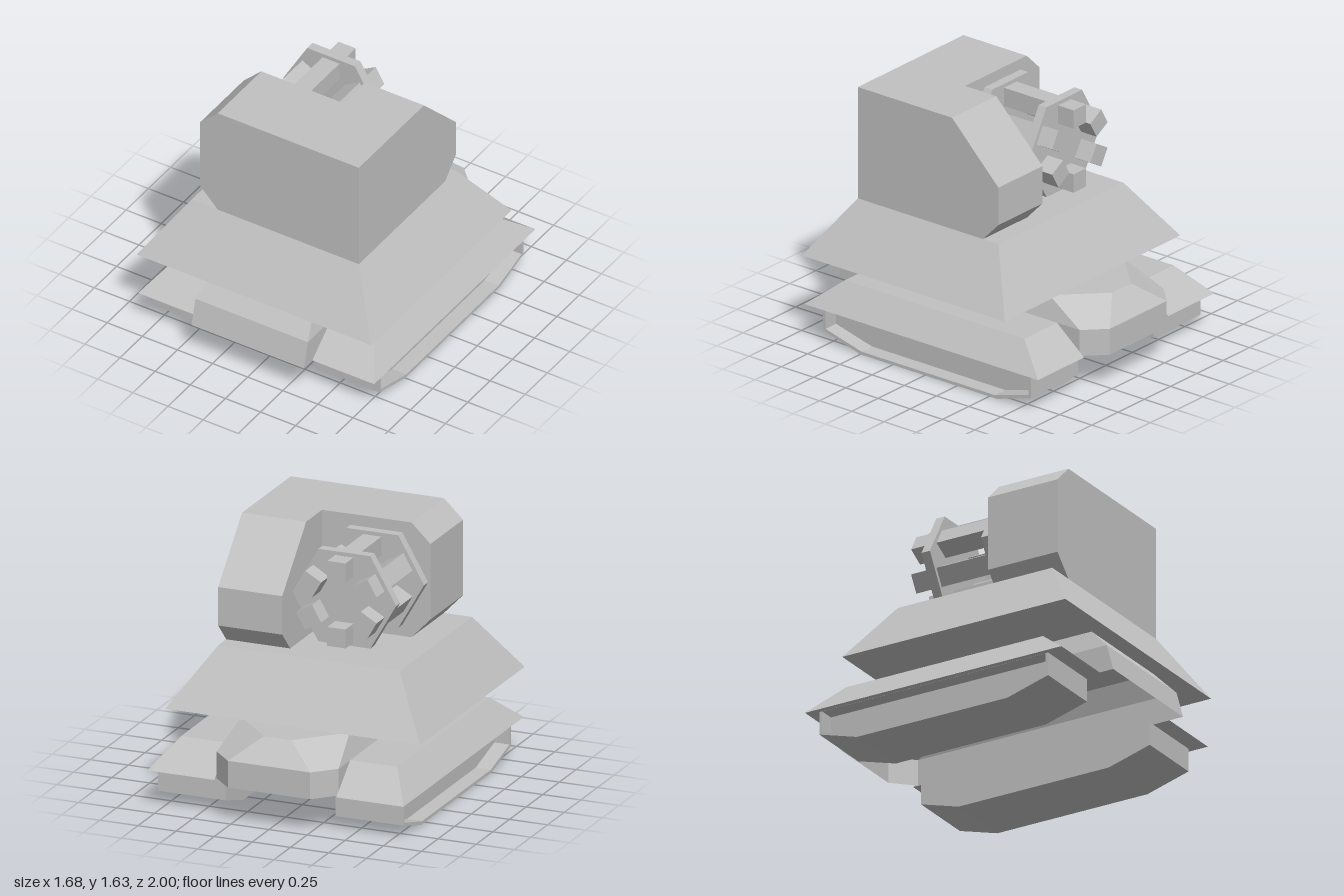
import * as THREE from 'three';

const grey = new THREE.MeshStandardMaterial({ color: 0xc0c0c0, flatShading: true });
grey.name = 'plain grey';
const greyShell = new THREE.MeshStandardMaterial({ color: 0xc0c0c0, flatShading: true, side: THREE.DoubleSide });
greyShell.name = 'plain grey shell';

function part(name, geometry, parent, material = grey) {
  const mesh = new THREE.Mesh(geometry, material);
  mesh.name = name;
  parent.add(mesh);
  return mesh;
}

// Stacks outlines [y, [[x, z], ...]], each counter-clockwise from above
function loft(layers, openBottom = false) {
  const n = layers[0][1].length;
  const pos = [];
  const put = (l, i) => pos.push(layers[l][1][i % n][0], layers[l][0], layers[l][1][i % n][1]);
  const tri = (...corners) => corners.forEach(([l, i]) => put(l, i));
  const top = layers.length - 1;
  for (let l = 0; l < top; l++) {
    for (let i = 0; i < n; i++) {
      tri([l, i], [l, i + 1], [l + 1, i + 1]);
      tri([l, i], [l + 1, i + 1], [l + 1, i]);
    }
  }
  for (let i = 1; i < n - 1; i++) {
    tri([top, 0], [top, i], [top, i + 1]);
    if (!openBottom) tri([0, 0], [0, i + 1], [0, i]);
  }
  const g = new THREE.BufferGeometry();
  g.setAttribute('position', new THREE.Float32BufferAttribute(pos, 3));
  g.computeVertexNormals();
  return g;
}

const rect = (x0, x1, z0, z1) => [[x1, z1], [x1, z0], [x0, z0], [x0, z1]];
const toShape = (points) => new THREE.Shape(points.map(([x, y]) => new THREE.Vector2(x, y)));
const extrude = (shape, depth) => new THREE.ExtrudeGeometry(shape, { depth, bevelEnabled: false });

// Side profile given as [z, y], extruded from x0 to x1
function sideExtrude(points, x0, x1, hole) {
  const flip = (list) => list.map(([z, y]) => [-z, y]);
  const shape = toShape(flip(points));
  if (hole) shape.holes.push(toShape(flip(hole)));
  return extrude(shape, x1 - x0).rotateY(Math.PI / 2).translate(x0, 0, 0);
}

export function createModel() {
  const model = new THREE.Group();
  model.name = 'trackedLauncher';

  // Hollow hull, open underneath, with a clipped tail
  const hullOutline = (w, front, sideEnd, tailW, tail) =>
    [[w, front], [w, sideEnd], [tailW, tail], [-tailW, tail], [-w, sideEnd], [-w, front]];
  part('hull', loft([
    [0.23, hullOutline(0.4, 1.0, -0.87, 0.27, -1.0)],
    [0.40, hullOutline(0.4, 0.955, -0.87, 0.27, -1.0)],
    [0.54, hullOutline(0.355, 0.82, -0.6, 0.09, -0.87)],
  ], true), model, greyShell);

  // Fenders and tracks on both sides
  const trackOuter = [[0.79, 0.23], [0.79, 0.08], [0.5, 0], [-0.56, 0], [-0.825, 0.08], [-0.825, 0.23]];
  const trackInner = [[0.77, 0.229], [0.77, 0.092], [0.49, 0.02], [-0.545, 0.02], [-0.805, 0.092], [-0.805, 0.229]];
  for (const s of [1, -1]) {
    const label = s > 0 ? 'left' : 'right';
    const span = (a, b) => (s > 0 ? [a, b] : [-b, -a]);
    part(label + 'Fender', loft([
      [0.23, rect(...span(0.4, 0.84), -0.905, 0.905)],
      [0.40, rect(...span(0.4, 0.71), -0.695, 0.695)],
    ]), model);
    part(label + 'TrackBody', sideExtrude(trackOuter, ...span(0.36, 0.705)), model);
    part(label + 'TrackRim', sideExtrude(trackOuter, ...span(0.705, 0.805), trackInner), model);
  }

  // Sloped turret base
  part('turretBase', loft([
    [0.54, rect(-0.835, 0.835, -0.645, 0.93)],
    [0.90, rect(-0.595, 0.595, -0.4, 0.69)],
  ]), model);

  // Turret: full-width front block and a narrower rear block beside the barrels
  const frontProfile = [[-0.41, 0.9], [0.595, 0.9], [0.595, 1.63], [-0.41, 1.63], [-0.535, 1.51], [-0.535, 1.03]];
  part('turretFront', extrude(toShape(frontProfile), 0.49).translate(0, 0, 0.2), model);
  part('turretRear', sideExtrude(
    [[0.2, 0.9], [-0.28, 0.9], [-0.4, 1.025], [-0.4, 1.27], [-0.04, 1.63], [0.2, 1.63]], 0.175, 0.595), model);

  // Rotary cluster: two hexagonal plates holding six square barrels
  const cluster = new THREE.Group();
  cluster.name = 'barrelCluster';
  cluster.position.set(-0.18, 1.265, 0);
  model.add(cluster);
  for (const [name, z] of [['frontPlate', 0.17], ['rearPlate', -0.25]]) {
    const plate = new THREE.CylinderGeometry(0.34, 0.34, 0.06, 6).rotateY(Math.PI / 6).rotateX(Math.PI / 2);
    part(name, plate, cluster).position.z = z;
  }
  for (let i = 0; i < 6; i++) {
    const barrel = new THREE.BoxGeometry(0.12, 0.12, 0.6).translate(0, 0.21, -0.1);
    part('barrel' + (i + 1), barrel, cluster).rotation.z = i * Math.PI / 3;
  }

  return model;
}
